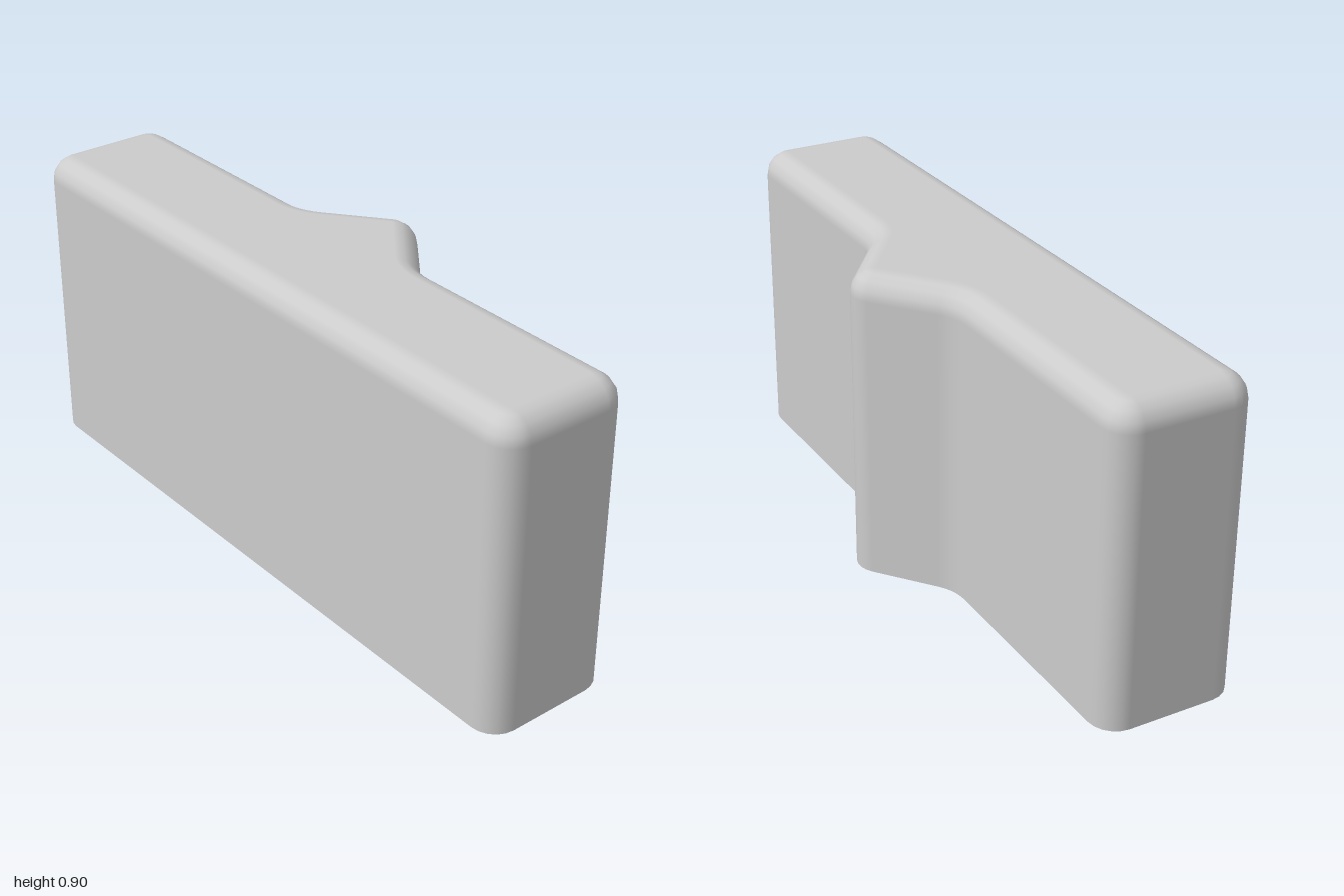
import * as THREE from 'three';

const HEIGHT = 0.9, BEVEL = 0.07, BEVEL_STEPS = 4, CORNER_STEPS = 5;

// Plan corners: x, z, fillet radius
const CORNERS = [
  [-0.29, 1, 0.075], [0.11, 1, 0.075],
  [0.11, 0.245, 0.145], [0.304, 0, 0.075], [0.11, -0.245, 0.145],
  [0.11, -1, 0.075], [-0.29, -1, 0.075],
].map(([x, z, r]) => ({ p: new THREE.Vector2(x, z), r }));

// Filleted outline as points with outward normals
function filletedOutline(corners) {
  const count = corners.length, outline = [];
  const normal = (a, b) => {
    const d = b.p.clone().sub(a.p).normalize();
    return new THREE.Vector2(-d.y, d.x);
  };
  corners.forEach((corner, i) => {
    const n1 = normal(corners[(i + count - 1) % count], corner);
    const n2 = normal(corner, corners[(i + 1) % count]);
    const turn = Math.atan2(n1.cross(n2), n1.dot(n2));
    const side = turn < 0 ? 1 : -1; // convex or concave
    const centre = corner.p.clone()
      .addScaledVector(n1.clone().add(n2), -side * corner.r / (1 + n1.dot(n2)));
    for (let k = 0; k <= CORNER_STEPS; k++) {
      const n = n1.clone().rotateAround(new THREE.Vector2(), turn * k / CORNER_STEPS);
      outline.push({ p: centre.clone().addScaledVector(n, side * corner.r), n });
    }
  });
  return outline;
}

// Walls, rounded rim and flat top, open underneath
function shellGeometry() {
  const outline = filletedOutline(CORNERS), count = outline.length;
  const positions = [], normals = [], indices = [];

  const rings = [{ y: 0, inset: 0, a: 0 }];
  for (let k = 0; k <= BEVEL_STEPS; k++) {
    const a = (k / BEVEL_STEPS) * Math.PI / 2;
    rings.push({ y: HEIGHT - BEVEL * (1 - Math.sin(a)), inset: BEVEL * (1 - Math.cos(a)), a });
  }
  rings.forEach(({ y, inset, a }, r) => {
    outline.forEach(({ p, n }, i) => {
      positions.push(p.x - n.x * inset, y, p.y - n.y * inset);
      normals.push(n.x * Math.cos(a), Math.sin(a), n.y * Math.cos(a));
      if (r === 0) return;
      const j = (i + 1) % count, low = (r - 1) * count, high = r * count;
      indices.push(low + i, low + j, high + j, low + i, high + j, high + i);
    });
  });

  // Flat top fills the last ring
  const top = (rings.length - 1) * count;
  const rim = outline.map(({ p, n }) => p.clone().addScaledVector(n, -BEVEL));
  for (const [a, b, c] of THREE.ShapeUtils.triangulateShape(rim, [])) {
    const facesUp = THREE.ShapeUtils.area([rim[a], rim[b], rim[c]]) < 0;
    indices.push(top + a, top + (facesUp ? b : c), top + (facesUp ? c : b));
  }

  const geometry = new THREE.BufferGeometry();
  geometry.setAttribute('position', new THREE.Float32BufferAttribute(positions, 3));
  geometry.setAttribute('normal', new THREE.Float32BufferAttribute(normals, 3));
  geometry.setIndex(indices);
  return geometry;
}

export function createModel() {
  const group = new THREE.Group();
  group.name = 'ridgedBlock';
  const material = new THREE.MeshStandardMaterial({ color: 0xcccccc, side: THREE.DoubleSide });
  const shell = new THREE.Mesh(shellGeometry(), material);
  shell.name = 'shell';
  group.add(shell);
  return group;
}
